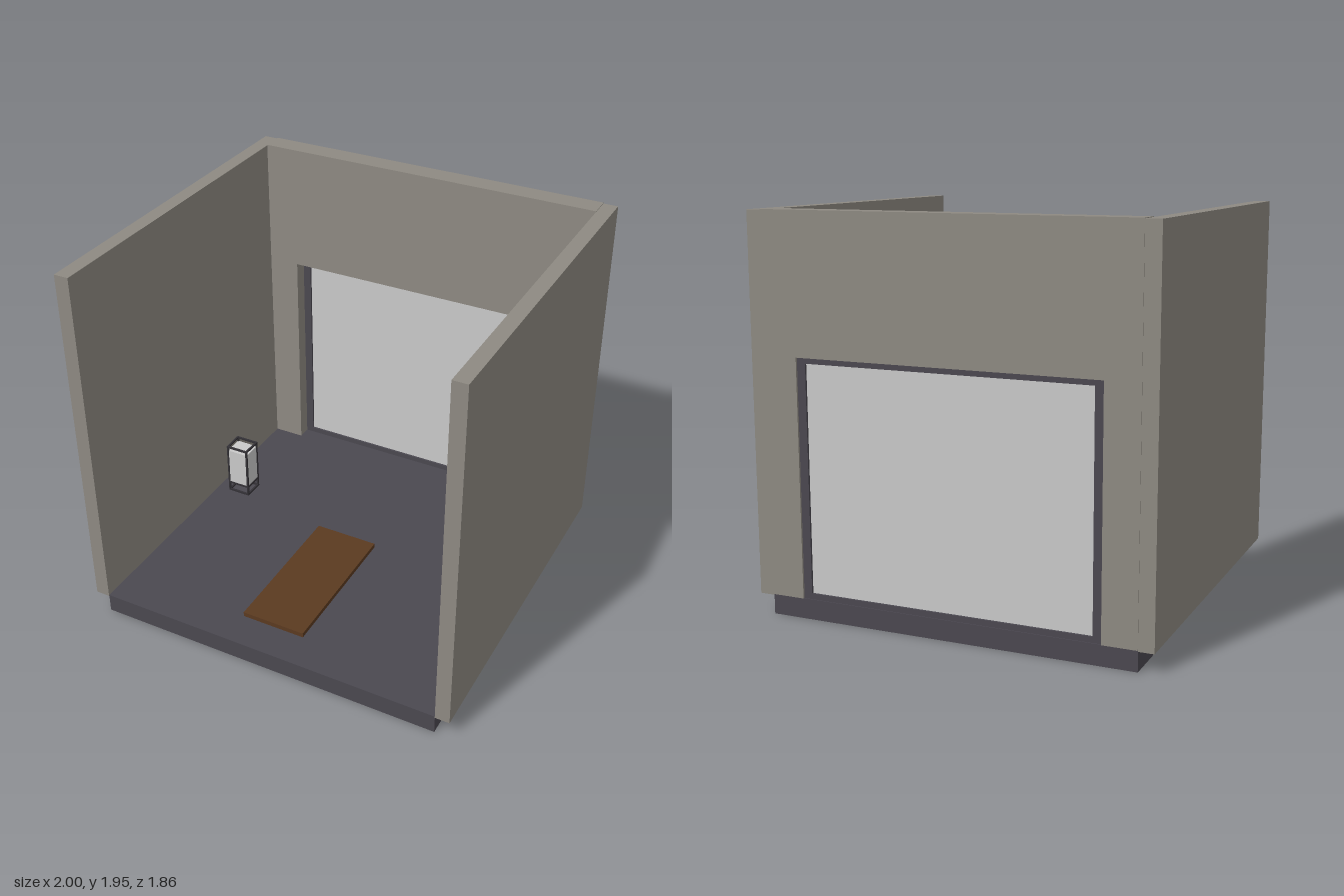
import * as THREE from 'three';

const mat = (name, color) => {
  const m = new THREE.MeshStandardMaterial({ color });
  m.name = name;
  return m;
};

export function createModel() {
  const plaster = mat('plaster grey', 0x8e8a82);
  const slate = mat('slate', 0x4b4850);
  const glass = mat('pale glass', 0xcacaca);
  const wood = mat('brown wood', 0x5b3a20);
  const iron = mat('dark iron', 0x333136);

  const model = new THREE.Group();
  model.name = 'room';

  // Box given by its lower and upper limits on each axis
  const box = (parent, name, material, [x0, x1], [y0, y1], [z0, z1]) => {
    const mesh = new THREE.Mesh(new THREE.BoxGeometry(x1 - x0, y1 - y0, z1 - z0), material);
    mesh.position.set((x0 + x1) / 2, (y0 + y1) / 2, (z0 + z1) / 2);
    mesh.name = name;
    parent.add(mesh);
    return mesh;
  };

  // Floor slab and side walls
  box(model, 'floor', slate, [-0.925, 0.925], [0, 0.1], [-0.925, 0.925]);
  box(model, 'leftWall', plaster, [0.925, 1], [0.095, 1.942], [-0.927, 0.927]);
  box(model, 'rightWall', plaster, [-1, -0.925], [0.095, 1.942], [-0.927, 0.927]);

  // Back wall, an arch-shaped outline around the window opening
  const outline = [
    [-0.925, 0.1], [-0.757, 0.1], [-0.757, 1.267], [0.757, 1.267],
    [0.757, 0.1], [0.925, 0.1], [0.925, 1.945], [-0.925, 1.945],
  ].map(([x, y]) => new THREE.Vector2(x, y));
  const backWall = new THREE.Mesh(
    new THREE.ExtrudeGeometry(new THREE.Shape(outline), { depth: 0.115, bevelEnabled: false }),
    plaster,
  );
  backWall.position.z = -0.93;
  backWall.name = 'backWall';
  model.add(backWall);

  // Window: four frame bars around one pane
  const win = new THREE.Group();
  win.name = 'window';
  model.add(win);
  const frameZ = [-0.92, -0.89];
  box(win, 'frameTop', slate, [-0.757, 0.757], [1.24, 1.267], frameZ);
  box(win, 'frameSill', slate, [-0.757, 0.757], [0.1, 0.128], frameZ);
  for (const s of [-1, 1]) {
    const xs = [s * 0.757, s * 0.714].sort((a, b) => a - b);
    box(win, 'frameSide', slate, xs, [0.128, 1.24], frameZ);
  }
  box(win, 'pane', glass, [-0.714, 0.714], [0.128, 1.24], [-0.909, -0.901]);

  // Low table top
  box(model, 'tableTop', wood, [-0.15, 0.184], [0.217, 0.241], [0.073, 0.85]);

  // Lanterns: thin bar cage holding a pale block
  const hx = 0.065, hz = 0.059, t = 0.01;
  for (const cx of [-0.789, 0.816]) {
    const lantern = new THREE.Group();
    lantern.name = 'lantern';
    lantern.position.set(cx, 0.1, -0.198);
    model.add(lantern);
    for (const y of [0.003, 0.055, 0.295]) {
      const ys = [y, y + t];
      for (const [a, b] of [[-1, 0], [0, 1]]) {
        box(lantern, 'barAcross', iron, [-hx, hx], ys, [a * hz + b * (hz - t), a * (hz - t) + b * hz]);
        box(lantern, 'barAlong', iron, [a * hx + b * (hx - t), a * (hx - t) + b * hx], ys, [-hz + t, hz - t]);
      }
    }
    for (const sx of [-1, 1]) {
      for (const sz of [-1, 1]) {
        const px = sx * (hx - t / 2), pz = sz * (hz - t / 2);
        box(lantern, 'post', iron, [px - t / 2, px + t / 2], [0.003, 0.305], [pz - t / 2, pz + t / 2]);
      }
    }
    box(lantern, 'lanternGlass', glass, [-hx + 0.004, hx - 0.004], [0.06, 0.276], [-hz + 0.004, hz - 0.004]);
  }

  return model;
}
